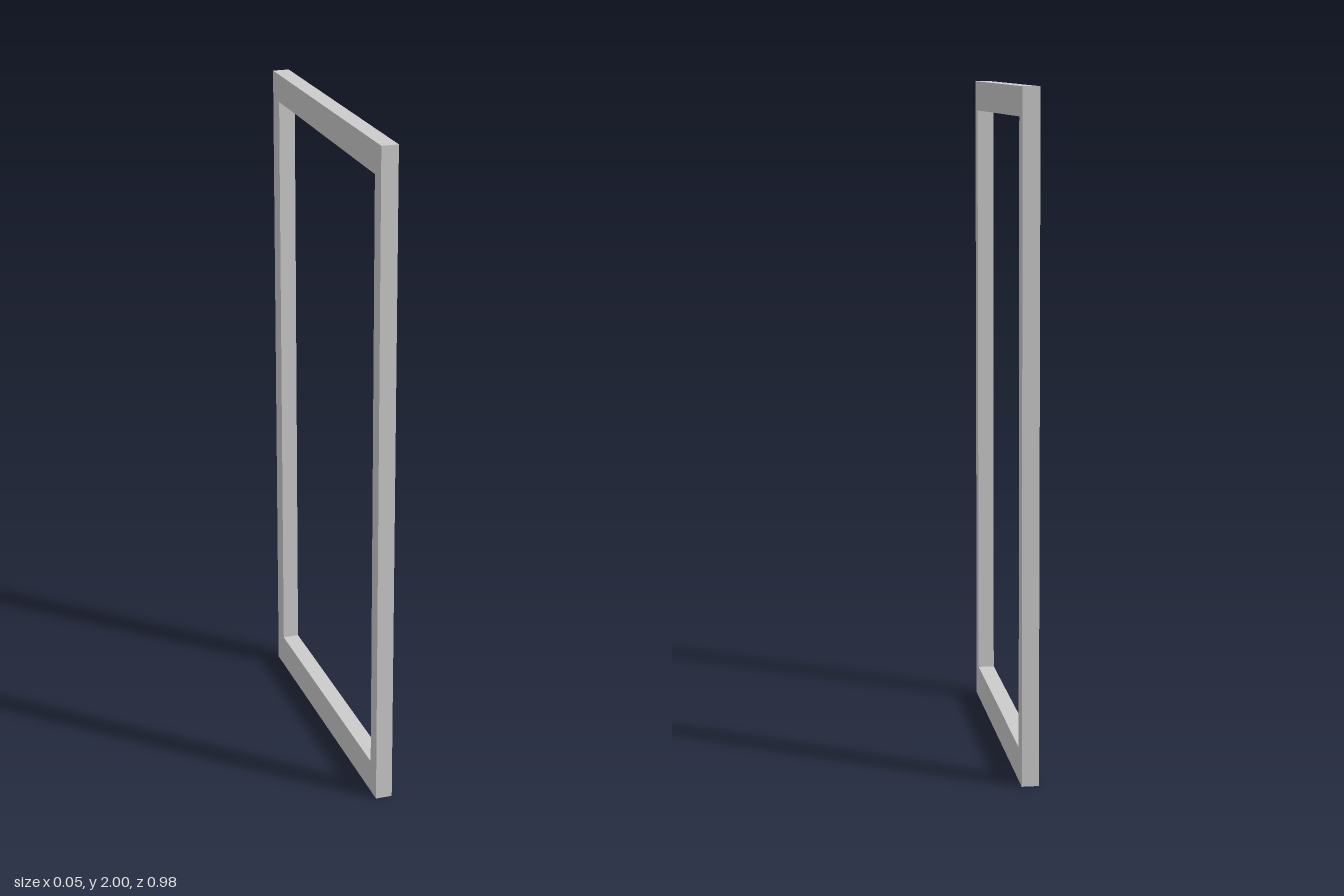
import * as THREE from 'three';

const HALF_WIDTH = 0.49, HEIGHT = 2, DEPTH = 0.05;

export function createModel() {
  const group = new THREE.Group();
  group.name = 'frame';

  // Outline of the frame, drawn with shape x as world z
  const outline = new THREE.Shape([
    new THREE.Vector2(-HALF_WIDTH, 0),
    new THREE.Vector2(HALF_WIDTH, 0),
    new THREE.Vector2(HALF_WIDTH, HEIGHT),
    new THREE.Vector2(-HALF_WIDTH, HEIGHT),
  ]);

  // Opening, slightly off centre with a barely sloping top edge
  outline.holes.push(new THREE.Path([
    new THREE.Vector2(-0.43, 0.1),
    new THREE.Vector2(-0.43, 1.916),
    new THREE.Vector2(0.44, 1.91),
    new THREE.Vector2(0.44, 0.1),
  ]));

  const geometry = new THREE.ExtrudeGeometry(outline, { depth: DEPTH, bevelEnabled: false });
  geometry.translate(0, 0, -DEPTH / 2);
  geometry.rotateY(-Math.PI / 2);

  const frame = new THREE.Mesh(geometry, new THREE.MeshStandardMaterial({ color: 0xcccccc, flatShading: true }));
  frame.name = 'rectangularFrame';
  group.add(frame);
  return group;
}
